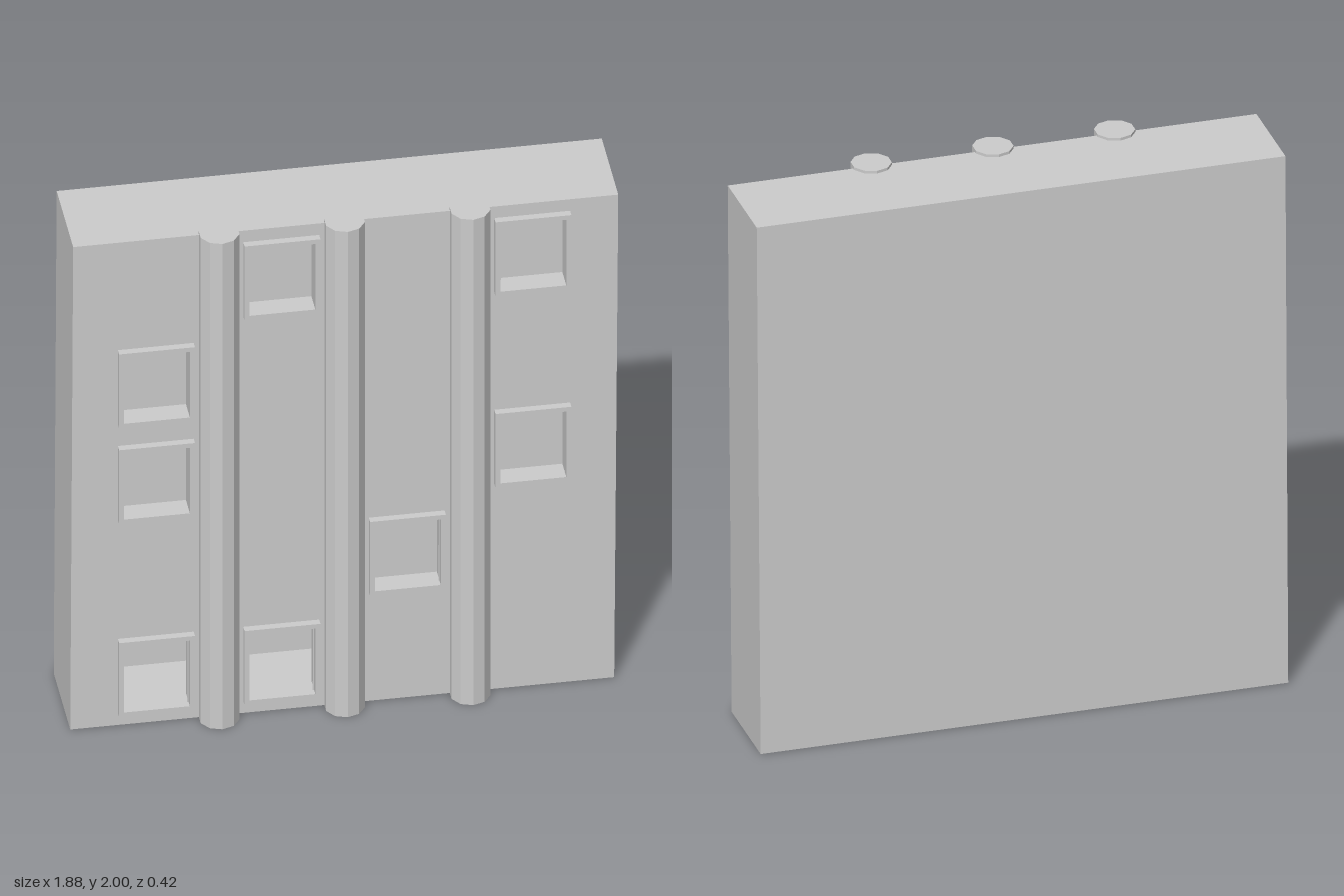
import * as THREE from 'three';

const material = new THREE.MeshStandardMaterial({ color: 0xcccccc, flatShading: true, side: THREE.DoubleSide });

const FRONT = 0.128, BACK = -0.208, BOTTOM = 0.003, TOP = 1.99, HALF = 0.933;
const OPEN_W = 0.225, OPEN_H = 0.27, FRAME_W = 0.26, FRAME_H = 0.305;

// window centres, column by column
const windows = [
  [-0.645, [0.205, 1.0, 1.395]],
  [-0.215, [0.205, 1.79]],
  [0.215, [0.605]],
  [0.645, [1.0, 1.79]],
].flatMap(([x, ys]) => ys.map((y) => [x, y]));

function rectangle(Type, x, y, w, h) {
  const r = new Type();
  r.moveTo(x - w / 2, y - h / 2);
  r.lineTo(x + w / 2, y - h / 2);
  r.lineTo(x + w / 2, y + h / 2);
  r.lineTo(x - w / 2, y + h / 2);
  r.closePath();
  return r;
}

// the wall leans very slightly sideways
function lean(geometry) {
  const p = geometry.attributes.position;
  for (let i = 0; i < p.count; i++) {
    const y = p.getY(i), x = p.getX(i);
    p.setX(i, x + (y - 1) * (x > 0 ? 0.007 : 0.005));
  }
  geometry.computeVertexNormals();
  return geometry;
}

export function createModel() {
  const group = new THREE.Group();
  const add = (name, geometry, x = 0, y = 0, z = 0) => {
    const mesh = new THREE.Mesh(geometry, material);
    mesh.name = name;
    mesh.position.set(x, y, z);
    group.add(mesh);
  };

  // hollow wall: a box without its front side
  const shell = new THREE.BoxGeometry(HALF * 2, TOP - BOTTOM, FRONT - BACK);
  shell.translate(0, (TOP + BOTTOM) / 2, (FRONT + BACK) / 2);
  const index = Array.from(shell.index.array);
  index.splice(24, 6);
  shell.setIndex(index);
  shell.clearGroups();
  add('wallShell', lean(shell));

  // front sheet with the window openings
  const sheet = rectangle(THREE.Shape, 0, (TOP + BOTTOM) / 2, HALF * 2, TOP - BOTTOM);
  for (const [x, y] of windows) sheet.holes.push(rectangle(THREE.Path, x, y, OPEN_W, OPEN_H));
  add('wallFront', lean(new THREE.ShapeGeometry(sheet)), 0, 0, FRONT);

  // window frames, reaching a little way into the wall
  const frameShape = rectangle(THREE.Shape, 0, 0, FRAME_W, FRAME_H);
  frameShape.holes.push(rectangle(THREE.Path, 0, 0, OPEN_W, OPEN_H));
  const frame = new THREE.ExtrudeGeometry(frameShape, { depth: 0.08, bevelEnabled: false });
  for (const [x, y] of windows) add('windowFrame', frame, x, y, 0.074);

  // ten-sided pillars
  const pillar = new THREE.CylinderGeometry(0.07, 0.07, 2, 10);
  for (const x of [-0.43, 0, 0.43]) add('pillar', pillar, x, 1, 0.138);

  return group;
}
